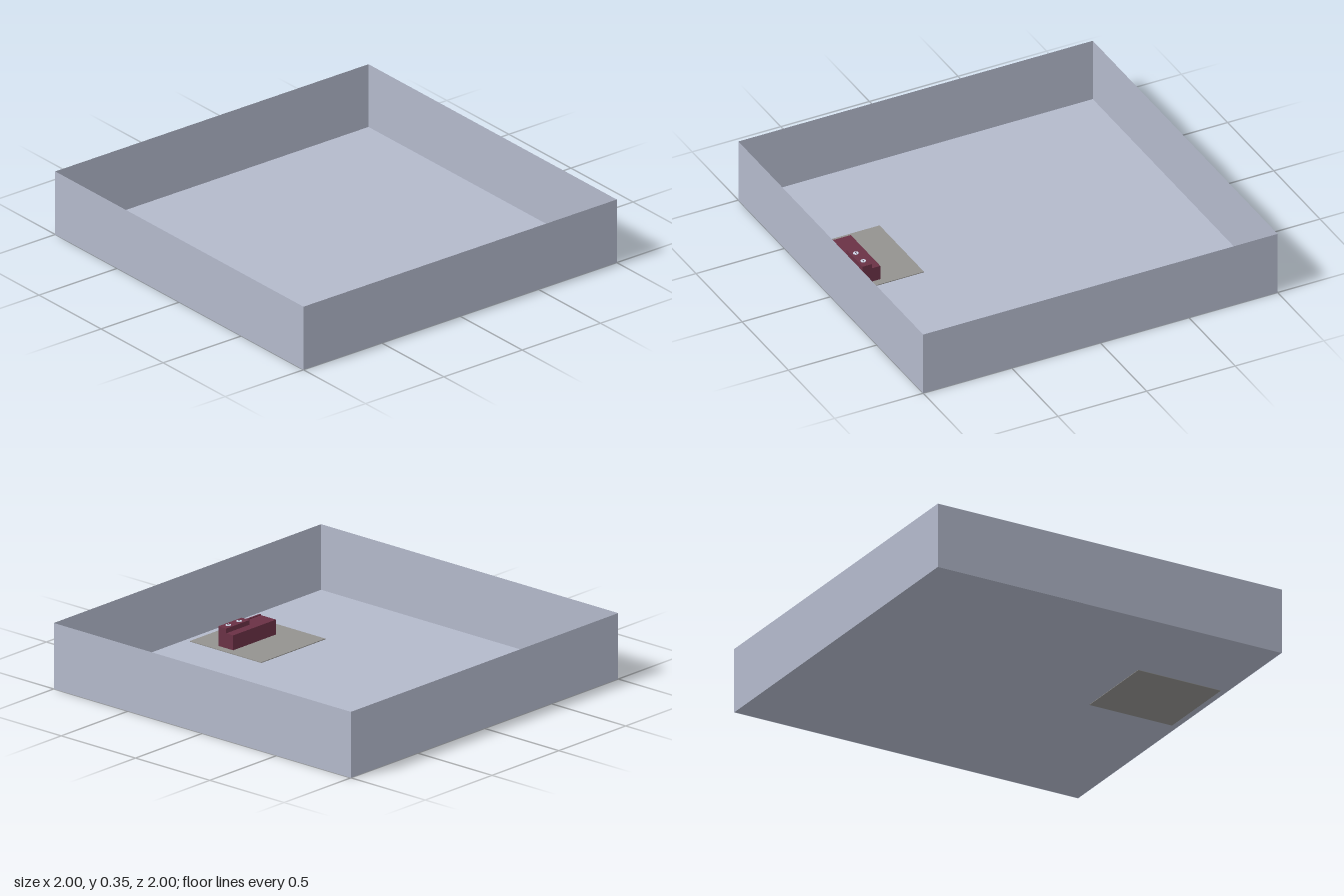
import * as THREE from 'three';

const paint = (name, color, side = THREE.FrontSide) => {
  const m = new THREE.MeshStandardMaterial({ color, side });
  m.name = name;
  return m;
};

export function createModel() {
  const group = new THREE.Group();
  group.name = 'openTray';
  const shell = paint('paleBlueGrey', 0xb3b9cb, THREE.DoubleSide);
  const grey = paint('warmGrey', 0x93928f);
  const maroon = paint('maroon', 0x6a3145);
  const pale = paint('paleLilac', 0xd3d8ea);
  const dark = paint('darkMaroon', 0x3a2230);

  const add = (name, geometry, material, x, y, z) => {
    const mesh = new THREE.Mesh(geometry, material);
    mesh.name = name;
    mesh.position.set(x, y, z);
    group.add(mesh);
    return mesh;
  };
  // Box given by its limits on each axis
  const block = (name, material, [x0, x1], [y0, y1], [z0, z1]) =>
    add(name, new THREE.BoxGeometry(x1 - x0, y1 - y0, z1 - z0), material,
      (x0 + x1) / 2, (y0 + y1) / 2, (z0 + z1) / 2);

  // Floor and four paper-thin walls
  const height = 0.35;
  add('floor', new THREE.PlaneGeometry(2, 2).rotateX(-Math.PI / 2), shell, 0, 0.002, 0);
  ['frontWall', 'leftWall', 'backWall', 'rightWall'].forEach((name, i) => {
    const a = i * Math.PI / 2;
    add(name, new THREE.PlaneGeometry(2, height), shell,
      Math.sin(a), height / 2, Math.cos(a)).rotation.y = a;
  });

  // Square mat set into the floor
  block('mat', grey, [-0.46, 0.02], [0, 0.006], [0.485, 0.965]);

  // Counter with a raised shelf and a rear panel
  block('counterBody', maroon, [-0.34, -0.02], [0.006, 0.085], [0.71, 0.81]);
  block('raisedShelf', maroon, [-0.195, -0.02], [0.085, 0.11], [0.757, 0.81]);
  block('rearPanel', maroon, [-0.34, -0.195], [0.006, 0.09], [0.81, 0.82]);

  // Two round dials with a dark bar on the shelf
  for (const x of [-0.145, -0.065]) {
    add('dial', new THREE.CylinderGeometry(0.014, 0.014, 0.003, 20), pale, x, 0.1115, 0.783);
    add('dialBar', new THREE.BoxGeometry(0.014, 0.001, 0.004), dark, x, 0.1135, 0.783);
  }
  return group;
}
